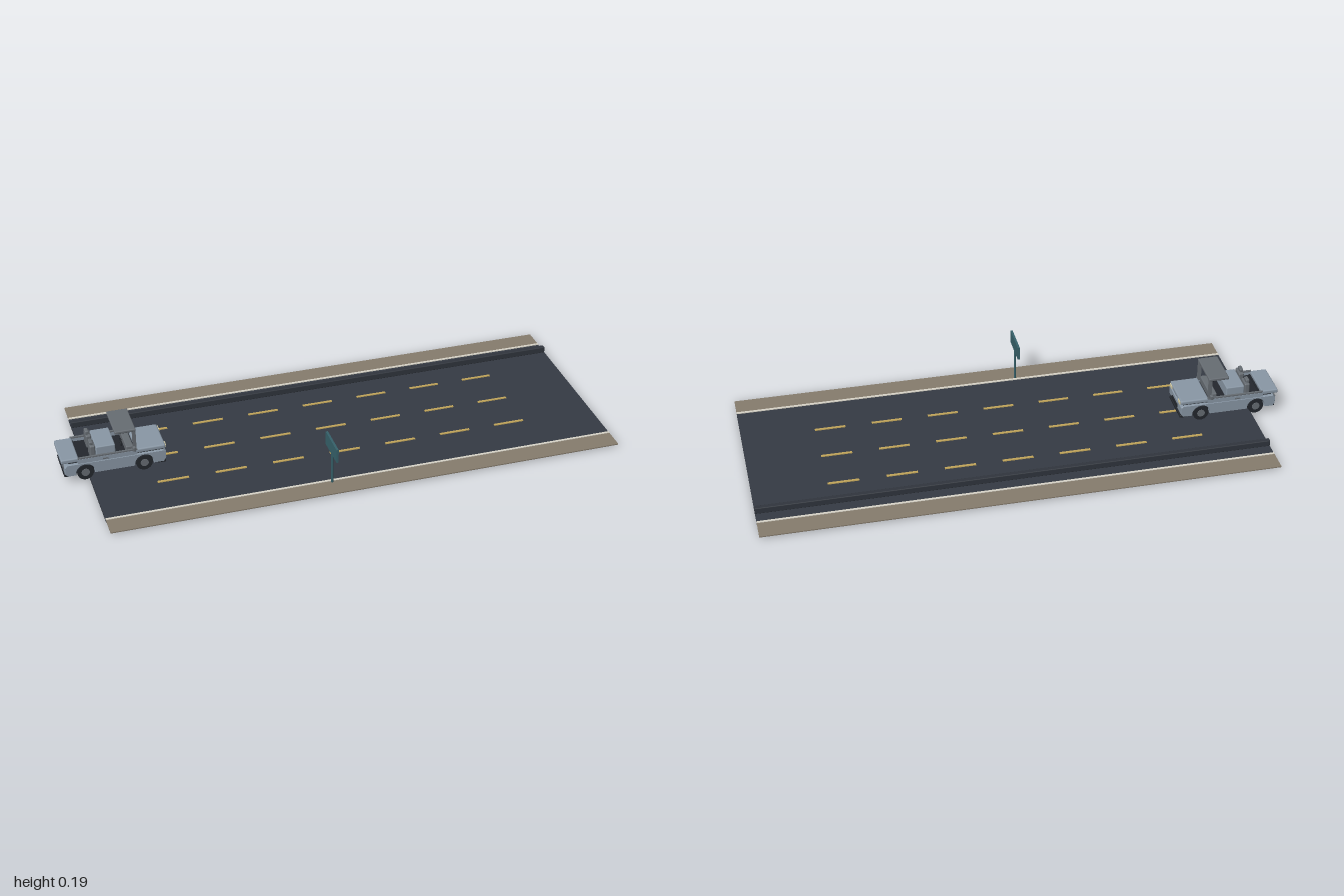
import * as THREE from 'three';
import { RoundedBoxGeometry } from 'three/addons/geometries/RoundedBoxGeometry.js';

const mat = (name, color, extra = {}) => new THREE.MeshStandardMaterial({ name, color, ...extra });

export function createModel() {
  const asphalt = mat('asphalt', 0x353a43);
  const gravel = mat('gravel', 0x857b6c);
  const yellow = mat('lineYellow', 0xc0a45a);
  const white = mat('lineWhite', 0xd8d4c8);
  const green = mat('signGreen', 0x36616a);
  const paint = mat('carPaint', 0x8896a4);
  const grey = mat('trimGrey', 0x666c72);
  const dark = mat('darkRubber', 0x23272d);
  const cream = mat('lampCream', 0xd8cfa6);
  const barrierGrey = mat('barrierGrey', 0x30353d);

  const model = new THREE.Group();
  model.name = 'roadScene';
  const group = (name) => {
    const g = new THREE.Group();
    g.name = name;
    model.add(g);
    return g;
  };
  const put = (parent, name, geometry, material, x = 0, y = 0, z = 0) => {
    const m = new THREE.Mesh(geometry, material);
    m.name = name;
    m.position.set(x, y, z);
    parent.add(m);
    return m;
  };
  // Box given by its limits; a radius rounds the edges
  const box = (parent, name, material, [x0, x1], [y0, y1], [z0, z1], r = 0) => {
    const s = [x1 - x0, y1 - y0, z1 - z0];
    const geo = r ? new RoundedBoxGeometry(...s, 2, r) : new THREE.BoxGeometry(...s);
    return put(parent, name, geo, material, (x0 + x1) / 2, (y0 + y1) / 2, (z0 + z1) / 2);
  };

  // Road, shoulders, edge lines
  const road = group('road');
  const length = [-0.9, 1];
  box(road, 'roadSlab', asphalt, length, [0, 0.01], [-0.345, 0.345]);
  for (const s of [-1, 1]) {
    const side = s > 0 ? 'left' : 'right';
    const span = (a, b) => (s > 0 ? [a, b] : [-b, -a]);
    box(road, side + 'Shoulder', gravel, length, [0.007, 0.011], span(0.345, 0.425));
    box(road, side + 'EdgeLine', white, length, [0.009, 0.013], span(0.338, 0.347));
  }

  // Lane dashes
  for (const z of [-0.172, 0, 0.17]) {
    for (let i = 0; i < 7; i++) {
      const x = -0.676 + i * 0.2145;
      box(road, 'laneDash', yellow, [x, x + 0.115], [0.009, 0.013], [z - 0.005, z + 0.005]);
    }
  }

  // Low barrier along the far lane
  box(road, 'barrier', barrierGrey, length, [0.01, 0.034], [-0.294, -0.275], 0.003);

  // Roadside sign
  const sign = group('sign');
  put(sign, 'signPost', new THREE.CylinderGeometry(0.004, 0.004, 0.126, 10), green, -0.08, 0.073, 0.353);
  box(sign, 'signPanel', green, [-0.085, -0.077], [0.134, 0.187], [0.29, 0.418]);

  // Car, facing +x
  const car = group('car');

  // Lower body with wheel arches, cut from a side profile
  const wheels = [-0.915, -0.7];
  const side = new THREE.Shape();
  side.moveTo(-0.98, 0.036);
  for (const x of wheels) {
    side.lineTo(x - 0.036, 0.036);
    side.absarc(x, 0.04, 0.036, Math.PI, 0, true);
    side.lineTo(x + 0.036, 0.036);
  }
  side.lineTo(-0.63, 0.036);
  side.lineTo(-0.622, 0.048);
  side.lineTo(-0.622, 0.074);
  side.lineTo(-0.63, 0.08);
  side.lineTo(-0.98, 0.08);
  side.lineTo(-0.988, 0.07);
  side.lineTo(-0.988, 0.046);
  const bodyGeo = new THREE.ExtrudeGeometry(side, {
    depth: 0.15, bevelEnabled: true, bevelThickness: 0.004, bevelSize: 0.002, bevelSegments: 1, curveSegments: 14,
  });
  put(car, 'lowerBody', bodyGeo, paint, 0, 0, -0.075);
  box(car, 'underTray', dark, [-0.97, -0.64], [0.028, 0.05], [-0.055, 0.055]);

  // Wheels with hubs
  for (const x of wheels) {
    for (const z of [-0.064, 0.064]) {
      const tyre = put(car, 'wheel', new THREE.CylinderGeometry(0.03, 0.03, 0.022, 24), dark, x, 0.04, z);
      tyre.rotation.x = Math.PI / 2;
      const hub = put(car, 'wheelHub', new THREE.CylinderGeometry(0.015, 0.015, 0.025, 16), grey, x, 0.04, z);
      hub.rotation.x = Math.PI / 2;
    }
  }

  // Upper body: dark belt, bonnet, boot lid, cabin sides
  box(car, 'bonnetBase', dark, [-0.73, -0.63], [0.078, 0.09], [-0.07, 0.07]);
  box(car, 'bonnet', paint, [-0.728, -0.62], [0.083, 0.101], [-0.074, 0.074], 0.006);
  box(car, 'bootBase', dark, [-0.93, -0.965 + 0.09], [0.076, 0.085], [-0.07, 0.07]);
  box(car, 'bootSupport', dark, [-0.975, -0.93], [0.078, 0.09], [-0.068, 0.068]);
  box(car, 'bootLid', paint, [-1, -0.936], [0.085, 0.102], [-0.072, 0.072], 0.005);
  box(car, 'cabinFloor', dark, [-0.935, -0.728], [0.076, 0.083], [-0.068, 0.068]);
  for (const s of [-1, 1]) {
    box(car, 'cabinSide', paint, [-0.94, -0.724], [0.078, 0.098], [s * 0.073 - 0.004, s * 0.073 + 0.004]);
    box(car, 'sillRail', grey, [-0.94, -0.724], [0.098, 0.103], [s * 0.072 - 0.004, s * 0.072 + 0.004]);
    box(car, 'doorHandle', grey, [-0.85, -0.83], [0.087, 0.091], [s * 0.078 - 0.003, s * 0.078 + 0.003]);
    box(car, 'mirror', grey, [-0.742, -0.73], [0.1, 0.117], [s * 0.08 - 0.007, s * 0.08 + 0.007], 0.003);
    // Windscreen posts and lamps
    box(car, 'windscreenPost', grey, [-0.738, -0.726], [0.095, 0.18], [s * 0.067 - 0.006, s * 0.067 + 0.006]);
    box(car, 'headlamp', cream, [-0.64, -0.617], [0.084, 0.096], [s * 0.054 - 0.012, s * 0.054 + 0.012]);
    box(car, 'rearLamp', grey, [-0.993, -0.98], [0.06, 0.072], [s * 0.056 - 0.012, s * 0.056 + 0.012]);
    // Seats
    box(car, 'seatBack', grey, [-0.892, -0.872], [0.083, 0.134], [s * 0.036 - 0.024, s * 0.036 + 0.024], 0.005);
    box(car, 'headrest', grey, [-0.892, -0.878], [0.133, 0.147], [s * 0.037 - 0.014, s * 0.037 + 0.014], 0.004);
  }

  // Roof canopy, carried by the windscreen frame
  box(car, 'roof', grey, [-0.802, -0.725], [0.175, 0.187], [-0.074, 0.074], 0.004);

  // Cabin interior
  box(car, 'centreDeck', paint, [-0.87, -0.8], [0.083, 0.128], [-0.06, 0.06], 0.004);
  box(car, 'dashboard', grey, [-0.762, -0.735], [0.083, 0.112], [-0.064, 0.064], 0.004);
  const steering = put(car, 'steeringWheel', new THREE.TorusGeometry(0.014, 0.002, 6, 20), dark, -0.775, 0.118, 0.034);
  steering.rotation.y = Math.PI / 2;

  // Nose and tail trim
  box(car, 'grille', dark, [-0.63, -0.616], [0.05, 0.063], [-0.032, 0.032]);
  box(car, 'frontBumper', dark, [-0.65, -0.619], [0.025, 0.037], [-0.07, 0.07], 0.004);
  box(car, 'rearBumper', dark, [-0.992, -0.965], [0.028, 0.042], [-0.07, 0.07], 0.004);

  return model;
}
